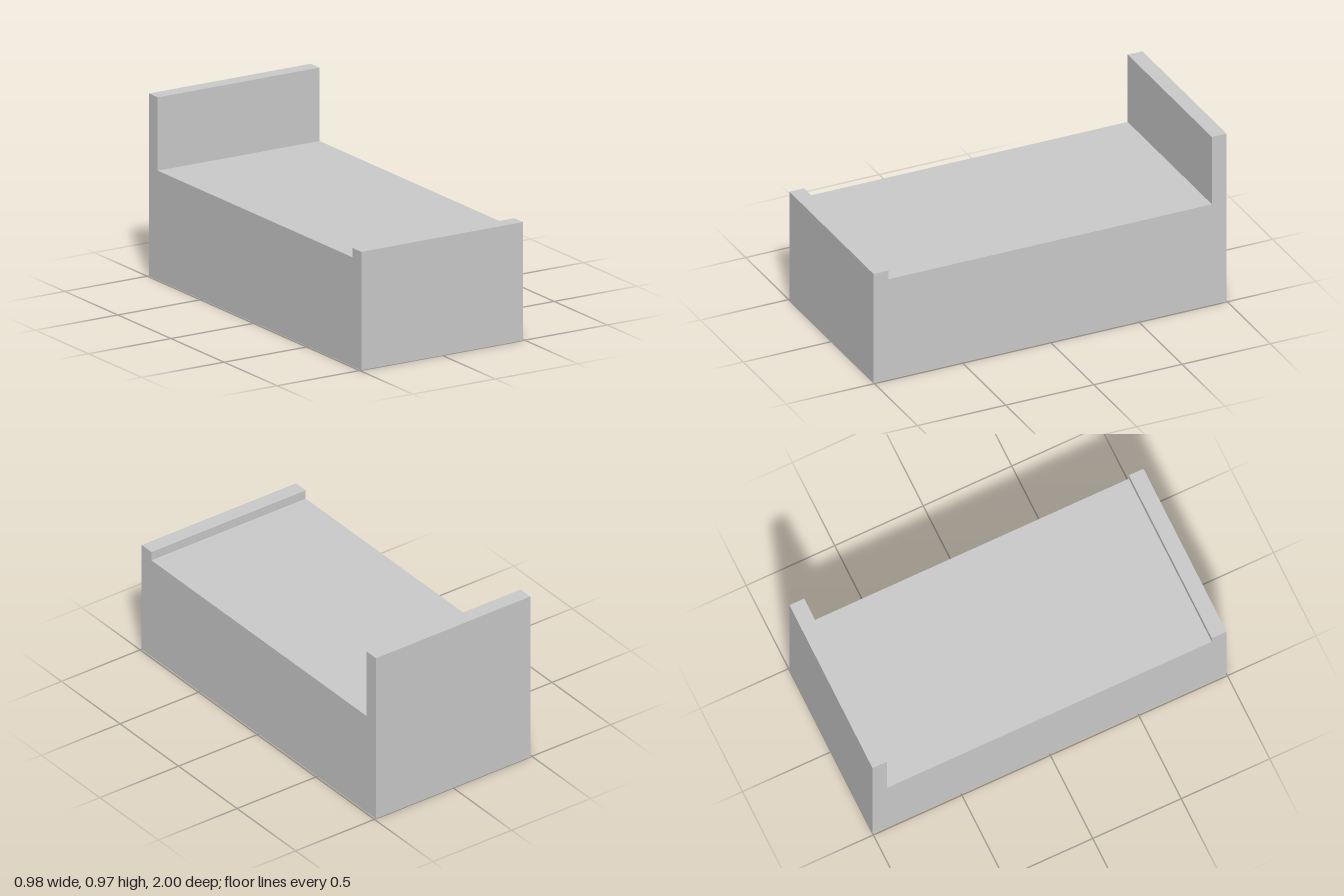
import * as THREE from 'three';

export function createModel() {
  const model = new THREE.Group();
  model.name = 'bed';

  const grey = new THREE.MeshStandardMaterial({ color: 0xcccccc });
  grey.name = 'light grey';

  const width = 0.98;
  const board = 0.083; // thickness of both end boards

  // Box standing on the ground, running from zBack to zFront
  function addBlock(name, height, zBack, zFront) {
    const mesh = new THREE.Mesh(new THREE.BoxGeometry(width, height, zFront - zBack), grey);
    mesh.name = name;
    mesh.position.set(0, height / 2, (zBack + zFront) / 2);
    model.add(mesh);
  }

  addBlock('headboard', 0.97, -1, -1 + board);
  addBlock('bedBase', 0.58, -1 + board, 1 - board);
  addBlock('footboard', 0.63, 1 - board, 1);

  return model;
}
